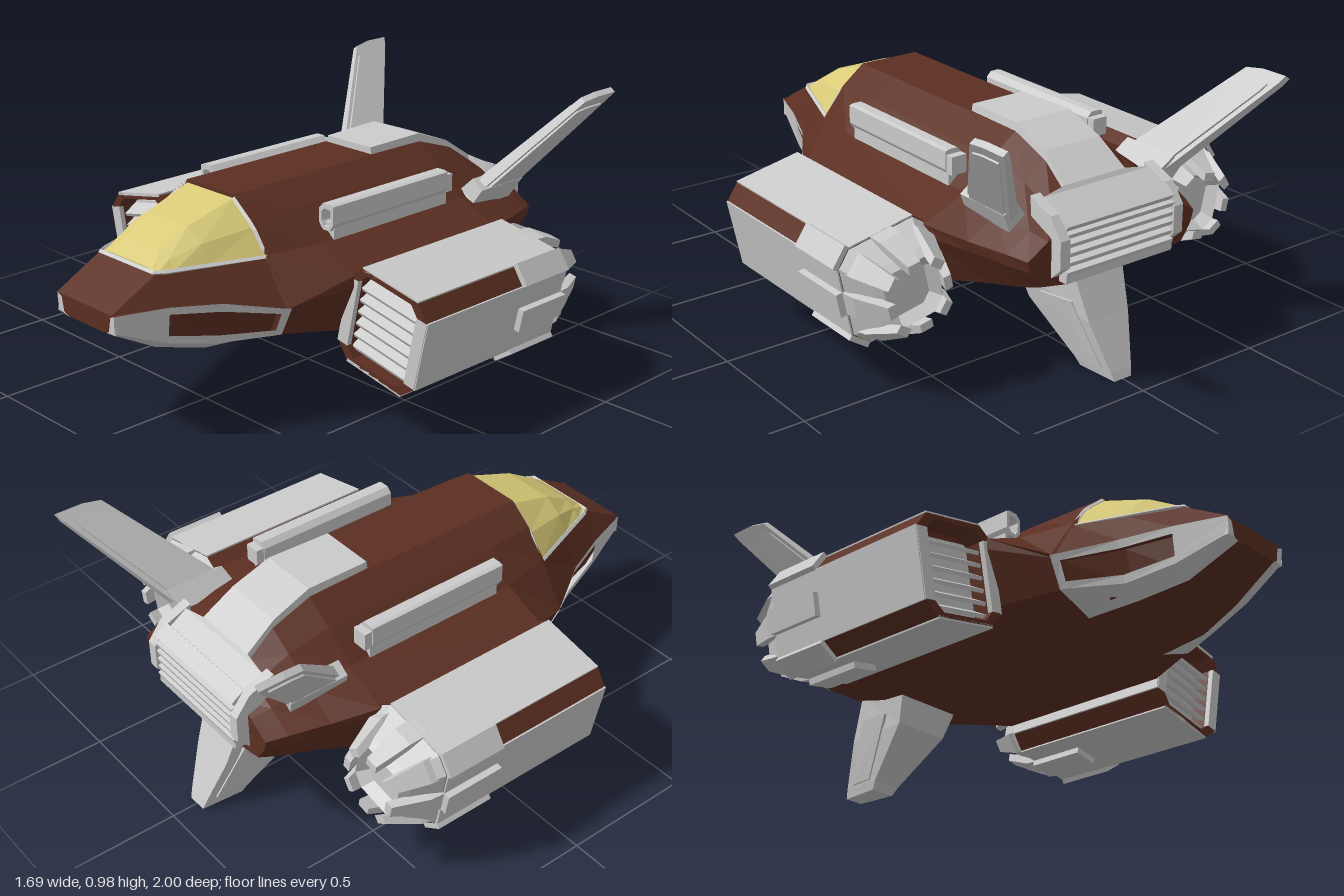
import * as THREE from 'three';

const mat = (color) => new THREE.MeshStandardMaterial({ color, flatShading: true, side: THREE.DoubleSide });
const GREY = mat(0xcccccc), BROWN = mat(0x5c2f22), GLASS = mat(0xd8ca78);

function add(parent, name, geometry, material, x = 0, y = 0, z = 0) {
  const m = new THREE.Mesh(geometry, material);
  m.name = name;
  m.position.set(x, y, z);
  parent.add(m);
  return m;
}
const box = (parent, name, w, h, d, x, y, z, material = GREY) =>
  add(parent, name, new THREE.BoxGeometry(w, h, d), material, x, y, z);

function fromTriangles(tris) {
  const g = new THREE.BufferGeometry();
  g.setAttribute('position', new THREE.Float32BufferAttribute(tris.flat(2), 3));
  g.computeVertexNormals();
  return g;
}

// Skin a series of equal-length rings and cap both ends; winding is made outward.
function loft(rings) {
  let tris = [];
  const n = rings[0].length;
  const centre = (r) => [0, 1, 2].map((k) => r.reduce((s, p) => s + p[k], 0) / n);
  const first = rings[0], last = rings[rings.length - 1];
  const c0 = centre(first), c1 = centre(last);
  for (let j = 0; j < n; j++) {
    const k = (j + 1) % n;
    for (let i = 0; i < rings.length - 1; i++) {
      const a = rings[i][j], b = rings[i][k], c = rings[i + 1][k], d = rings[i + 1][j];
      tris.push([a, d, c], [a, c, b]);
    }
    tris.push([c0, first[j], first[k]], [c1, last[k], last[j]]);
  }
  const v = (p) => new THREE.Vector3(...p);
  const volume = tris.reduce((s, [a, b, c]) => s + v(a).dot(v(b).cross(v(c))), 0);
  if (volume < 0) tris = tris.map(([a, b, c]) => [a, c, b]);
  return fromTriangles(tris);
}

// Symmetric ring from the right half, listed top to bottom.
const ring = (z, half) => [
  ...half.map(([x, y]) => [x, y, z]),
  ...[...half].reverse().map(([x, y]) => [-x, y, z]),
];
const lerp = (a, b, t) => a.map((v, i) => v + (b[i] - v) * t);

// Square with cut corners, listed around.
const octagon = (w, h, c) => [[w, -h + c], [w, h - c], [w - c, h], [-w + c, h],
  [-w, h - c], [-w, -h + c], [-w + c, -h], [w - c, -h]];

function buildHull(g) {
  const main = [[.12, .78], [.22, .71], [.33, .61], [.5, .54], [.5, .5], [.42, .32], [.2, .29]];
  add(g, 'hull', loft([
    ring(1, [[.1, .5], [.12, .5], [.14, .5], [.155, .5], [.13, .49], [.12, .44], [.1, .43]]),
    ring(.82, [[.1, .6], [.12, .6], [.15, .6], [.215, .5], [.18, .48], [.17, .36], [.13, .34]]),
    ring(.65, [[.12, .595], [.17, .595], [.22, .595], [.28, .485], [.24, .465], [.21, .34], [.18, .3]]),
    ring(.47, [[.12, .6], [.2, .6], [.29, .6], [.39, .45], [.35, .44], [.31, .34], [.2, .29]]),
    ring(.46, [[.12, .78], [.21, .71], [.29, .61], [.4, .45], [.39, .44], [.345, .34], [.2, .29]]),
    ring(.26, main),
    ring(-.46, main),
    ring(-.62, [[.12, .73], [.21, .67], [.32, .59], [.44, .52], [.43, .48], [.36, .35], [.2, .31]]),
    ring(-.76, [[.12, .64], [.21, .61], [.3, .57], [.39, .51], [.385, .47], [.33, .38], [.2, .35]]),
    ring(-.83, [[.12, .57], [.2, .57], [.28, .55], [.36, .5], [.35, .46], [.31, .4], [.2, .38]]),
  ]), BROWN);

  // Canopy glass and its frame
  const glass = [
    ring(.46, [[.12, .768], [.22, .69], [.285, .6]]),
    ring(.65, [[.105, .71], [.175, .665], [.215, .6]]),
    ring(.76, [[.095, .65], [.14, .63], [.172, .6]]),
    ring(.82, [[.1, .61], [.125, .605], [.15, .598]]),
  ];
  add(g, 'canopy', loft(glass), GLASS);
  const frame = (name, pts, closed) => {
    const path = new THREE.CurvePath();
    for (let i = 0; i < pts.length - 1; i++)
      path.add(new THREE.LineCurve3(new THREE.Vector3(...pts[i]), new THREE.Vector3(...pts[i + 1])));
    add(g, name, new THREE.TubeGeometry(path, 30, .009, 4, closed), GREY);
  };
  frame('canopyArch', glass[0], false);
  frame('canopySill', [[.285, .6, .46], [.15, .6, .825], [-.15, .6, .825], [-.285, .6, .46]], false);

  // Dorsal strip following the spine
  const strip = (z, w, y) => ring(z, [[w, y], [w + .01, y - .06]]);
  add(g, 'dorsalStrip', loft([strip(-.21, .11, .805), strip(-.46, .115, .81), strip(-.61, .12, .755),
    strip(-.73, .13, .675), strip(-.74, .23, .66), strip(-.83, .24, .6)]), GREY);

  // Rear exhaust grille
  for (const s of [-1, 1]) {
    add(g, 'grilleCheek', loft([.225, .265].map((x) => [[s * x, .67, -.72], [s * x, .63, -.82],
      [s * x, .56, -.875], [s * x, .46, -.875], [s * x, .41, -.82], [s * x, .44, -.74]])), GREY);
  }
  for (let i = 0; i < 5; i++)
    box(g, 'grilleSlat', .46, .016, .06, 0, .575 - i * .033, -.84).rotation.x = -.3;
  box(g, 'grilleTop', .46, .025, .06, 0, .605, -.835).rotation.x = -.6;
  box(g, 'grilleBottom', .46, .03, .09, 0, .415, -.82);

  // Ventral fin
  const root = (y, w, za, zb, yb) => [[w, y, za], [w * .75, yb, zb], [-w * .75, yb, zb], [-w, y, za]];
  add(g, 'ventralFin', loft([root(.31, .14, -.5, -.76, .36), root(.2, .115, -.54, -.82, .2),
    root(.03, .06, -.72, -.89, .03), root(0, .05, -.74, -.9, 0)]), GREY);
  for (const s of [-1, 1])
    add(g, 'ventralFinPanel', loft([0, .012].map((o) => [[s * (.115 + o), .25, -.61],
      [s * (.098 + o), .26, -.75], [s * (.045 + o), .04, -.85], [s * (.053 + o), .04, -.75]])), GREY);
}

function buildNosePanel(g, s) {
  // Grey lower nose side with a window opening over the recessed hull
  const cols = [
    [1, [.155, .5], [.15, .44], [.1, .428]],
    [.82, [.215, .5], [.2, .37], [.13, .335]],
    [.65, [.28, .485], [.25, .335], [.18, .297]],
    [.48, [.387, .452], [.34, .34], [.2, .288]],
    [.455, [.402, .45], [.35, .34], [.2, .287]],
  ].map(([z, e, l, b]) => [e, lerp(e, l, .2), lerp(e, l, .8), l, b].map(([x, y]) => [s * x, y, z]));
  const tris = [];
  for (let i = 0; i < 4; i++) for (let j = 0; j < 4; j++) {
    if (j === 1 && (i === 1 || i === 2)) continue;
    const a = cols[i][j], b = cols[i][j + 1], c = cols[i + 1][j + 1], d = cols[i + 1][j];
    tris.push(...(s > 0 ? [[a, b, c], [a, c, d]] : [[a, c, b], [a, d, c]]));
  }
  add(g, 'nosePanel', fromTriangles(tris), GREY);
  box(g, 'noseTip', .043, .066, .02, s * .133, .466, .988);
}

function buildEngine(g, s) {
  const e = new THREE.Group();
  e.name = s > 0 ? 'leftEngine' : 'rightEngine';
  e.position.set(s * .625, .375, 0);
  e.rotation.z = -s * .2;
  g.add(e);
  const at = (z, w, c) => octagon(w, w, c).map(([x, y]) => [x, y, z]);
  add(e, 'engineBody', loft([at(.17, .178, .05), at(-.45, .178, .05)]), BROWN);

  // Intake rim with grey side bars and louvres
  const rim = new THREE.Shape(octagon(.178, .178, .05).map((p) => new THREE.Vector2(...p)));
  rim.holes.push(new THREE.Path(octagon(.135, .16, .035).map((p) => new THREE.Vector2(...p))));
  add(e, 'intakeRim', new THREE.ExtrudeGeometry(rim, { depth: .09, bevelEnabled: false }), BROWN, 0, 0, .17);
  for (const x of [-1, 1]) box(e, 'intakeBar', .046, .25, .02, x * .157, 0, .253);
  for (let i = 0; i < 6; i++)
    box(e, 'intakeLouvre', .28, .014, .07, 0, -.12 + i * .045, .205).rotation.x = .5;
  box(e, 'intakeBack', .27, .27, .01, 0, 0, .176);

  // Armour plates on the four flats
  for (let i = 0; i < 4; i++) {
    const a = i * Math.PI / 2;
    box(e, 'sidePlate', .012, .255, .71, Math.cos(a) * .178, Math.sin(a) * .178, -.095).rotation.z = a;
  }
  // Raised rear clamps: outer corners, outer side and underside
  for (const [deg, r, w] of [[45, .216, .085], [0, .187, .085], [-45, .216, .085], [-90, .187, .1]]) {
    const a = deg * Math.PI / 180;
    box(e, 'rearClamp', .04, w, .23, s * Math.cos(a) * r, Math.sin(a) * r, -.335).rotation.z = s * a;
  }
  // Tapered nozzle with petals around it
  add(e, 'nozzle', loft([at(-.45, .176, .05), at(-.55, .125, .045), at(-.58, .105, .04), at(-.54, .08, .03)]), GREY);
  for (let i = 0; i < 8; i++) {
    const a = i * Math.PI / 4, k = i % 2 ? 1.08 : 1;
    const petal = (z, r, w, t) => [[r, w], [r, -w], [r - t, -w], [r - t, w]].map(([u, v]) =>
      [u * Math.cos(a) - v * Math.sin(a), u * Math.sin(a) + v * Math.cos(a), z]);
    add(e, 'nozzlePetal', loft([petal(-.43, .185 * k, .042, .04), petal(-.5, .178 * k, .04, .04),
      petal(-.62, .125 * k, .024, .03)]), GREY);
  }
}

function buildFin(g, s) {
  // Canted tail fin with a raised border around a slimmer panel
  const u = [.25, .35], n = [.81, -.58];
  const point = (t, z, o) => [s * (.34 + u[0] * t + n[0] * o), .62 + u[1] * t + n[1] * o, z];
  const outline = [[-.08, -.48], [-.08, -.71], [.92, -.985], [1, -1], [1, -.9], [.97, -.83]];
  const mid = [.46, -.75];
  const slab = (k, h) => loft([-h, h].map((o) => outline.map((p) => {
    const [t, z] = lerp(mid, p, k);
    return point(t, z, o * (1.25 - .5 * t));
  })));
  add(g, 'tailFin', slab(1, .016), GREY);
  add(g, 'tailFinPanel', slab(.8, .024), GREY);
  add(g, 'finRoot', loft([[-.1, .04], [.1, .03]].map(([t, h]) =>
    [[-.5, -h], [-.5, h], [-.73, h], [-.73, -h]].map(([z, o]) => point(t, z - .12 * t, o)))), GREY);
}

function buildPod(g, s) {
  // Hollow six-sided launcher tube on a low rail
  const p = [[.034, .05], [.034, -.015], [.018, -.04], [-.018, -.04], [-.034, -.015], [-.034, .035], [-.015, .055], [.02, .055]];
  const shape = new THREE.Shape(p.map(([x, y]) => new THREE.Vector2(s * x, y)));
  shape.holes.push(new THREE.Path(p.map(([x, y]) => new THREE.Vector2(s * x * .65, y * .65))));
  add(g, 'launcherTube', new THREE.ExtrudeGeometry(shape, { depth: .58, bevelEnabled: false }), GREY, s * .31, .68, -.37);
  box(g, 'launcherCore', .045, .06, .45, s * .31, .685, -.1);
  box(g, 'launcherRail', .05, .07, .57, s * .31, .63, -.09);
  box(g, 'launcherEnd', .06, .065, .03, s * .31, .685, -.385);
}

export function createModel() {
  const g = new THREE.Group();
  g.name = 'spacecraft';
  buildHull(g);
  for (const s of [-1, 1]) {
    buildNosePanel(g, s);
    buildEngine(g, s);
    buildFin(g, s);
    buildPod(g, s);
  }
  return g;
}
